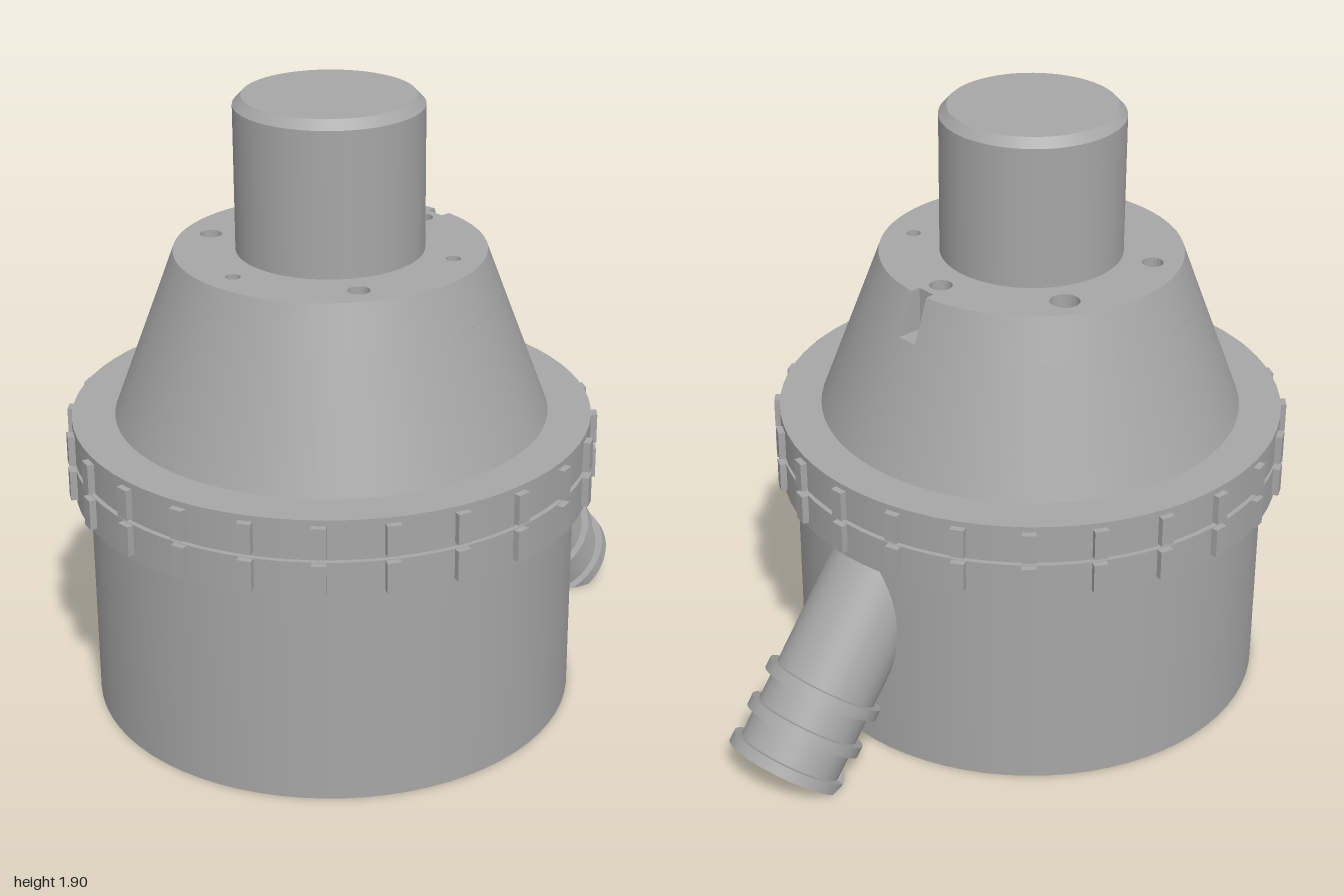
import * as THREE from 'three';
import { mergeGeometries } from 'three/addons/utils/BufferGeometryUtils.js';

const SEG = 72;
const V = (x, y, z) => new THREE.Vector3(x, y, z);
const polar = (r, a, y) => V(r * Math.sin(a), y, r * Math.cos(a));

// Turned solid with a sharp edge at every profile point
function turned(profile, start = 0, length = Math.PI * 2) {
  const parts = [];
  for (let i = 0; i < profile.length - 1; i++) {
    const pts = [profile[i], profile[i + 1]].map(p => new THREE.Vector2(...p));
    parts.push(new THREE.LatheGeometry(pts, SEG, start, length).toNonIndexed());
  }
  return mergeGeometries(parts);
}

// Flat polygon [x, z] at height y, with holes, facing up or down
function plate(outline, holes, y, up) {
  const to2 = pts => pts.map(([x, z]) => new THREE.Vector2(x, up ? -z : z));
  const shape = new THREE.Shape(to2(outline));
  shape.holes = holes.map(h => new THREE.Path(to2(h)));
  return new THREE.ShapeGeometry(shape).rotateX(up ? -Math.PI / 2 : Math.PI / 2).translate(0, y, 0);
}

// Flat four-sided faces from lists of corners
function quads(list) {
  const pts = list.flatMap(([a, b, c, d]) => [a, b, c, a, c, d]);
  const g = new THREE.BufferGeometry().setFromPoints(pts);
  g.computeVertexNormals();
  return g;
}

// Inward-facing wall of a recess between two heights
function recessWall(pts, y0, y1) {
  return quads(pts.map(([x, z], i) => {
    const [u, w] = pts[(i + 1) % pts.length];
    return [V(x, y0, z), V(x, y1, z), V(u, y1, w), V(u, y0, w)];
  }));
}

function circle(cx, cz, r, n) {
  return Array.from({ length: n }, (_, i) => {
    const a = i / n * Math.PI * 2;
    return [cx + r * Math.sin(a), cz + r * Math.cos(a)];
  });
}

// Splits triangles at y = 0 and flattens everything below onto that plane
function trimAtFloor(geo) {
  const p = geo.attributes.position, n = geo.attributes.normal, pos = [], nor = [];
  for (let i = 0; i < p.count; i += 3) {
    const tri = [0, 1, 2].map(k => ({
      p: new THREE.Vector3().fromBufferAttribute(p, i + k),
      n: new THREE.Vector3().fromBufferAttribute(n, i + k),
    }));
    for (const side of [1, -1]) {
      const poly = [];
      tri.forEach((a, k) => {
        const b = tri[(k + 1) % 3];
        if (a.p.y * side >= 0) poly.push(a);
        if (a.p.y * b.p.y < 0) {
          const t = a.p.y / (a.p.y - b.p.y);
          poly.push({ p: a.p.clone().lerp(b.p, t), n: a.n.clone().lerp(b.n, t) });
        }
      });
      for (let k = 1; k < poly.length - 1; k++) {
        for (const v of [poly[0], poly[k], poly[k + 1]]) {
          pos.push(v.p.x, side > 0 ? v.p.y : 0, v.p.z);
          nor.push(...(side > 0 ? v.n.toArray() : [0, -1, 0]));
        }
      }
    }
  }
  const out = new THREE.BufferGeometry();
  out.setAttribute('position', new THREE.Float32BufferAttribute(pos, 3));
  out.setAttribute('normal', new THREE.Float32BufferAttribute(nor, 3));
  return out;
}

export function createModel() {
  const model = new THREE.Group();
  model.name = 'housing';
  const grey = new THREE.MeshStandardMaterial({ color: 0xa6a6a6, side: THREE.DoubleSide });
  grey.name = 'grey';
  const axis = new THREE.Group();
  axis.name = 'housingAxis';
  axis.position.z = 0.195;
  model.add(axis);
  const add = (name, geo, parent = axis) => {
    const m = new THREE.Mesh(geo, grey);
    m.name = name;
    parent.add(m);
    return m;
  };

  // Drum, split flange and lower cone
  add('drum', turned([[0.74, 0], [0.74, 0.68]]));
  add('flange', turned([[0.74, 0.68], [0.785, 0.68], [0.785, 0.795], [0.77, 0.795],
    [0.77, 0.813], [0.785, 0.813], [0.785, 0.925], [0.655, 0.925]]));
  add('cone', turned([[0.655, 0.925], [0.515, 1.3]]));

  // Upper cone with a keyway at the back
  const g = 0.068, PI = Math.PI, top = 1.435, floor = 1.3;
  add('coneTop', turned([[0.515, floor], [0.465, top]], PI + g, 2 * PI - 2 * g));
  const [a, b] = [PI - g, PI + g];
  add('keyway', quads([
    [polar(0.515, a, floor), polar(0.465, a, top), polar(0.435, a, top), polar(0.435, a, floor)],
    [polar(0.435, b, floor), polar(0.435, b, top), polar(0.465, b, top), polar(0.515, b, floor)],
    [polar(0.435, a, floor), polar(0.435, a, top), polar(0.435, b, top), polar(0.435, b, floor)],
    [polar(0.515, a, floor), polar(0.435, a, floor), polar(0.435, b, floor), polar(0.515, b, floor)],
  ]));

  // Top deck with six drilled holes
  const rim = [];
  for (let i = 0; i <= SEG; i++) rim.push(polar(0.465, b + i / SEG * (2 * PI - 2 * g), 0));
  rim.push(polar(0.435, a, 0), polar(0.435, b, 0));
  const holes = [0.022, 0.033, 0.022, 0.035, 0.045, 0.033].map((r, i) =>
    circle(0.376 * Math.sin(i * PI / 3), 0.376 * Math.cos(i * PI / 3), r, 20));
  add('topDeck', plate(rim.map(p => [p.x, p.z]), holes, top, true));
  holes.forEach(h => {
    add('drilledHole', recessWall(h, top - 0.1, top));
    add('drilledHoleFloor', plate(h, [], top - 0.1, true));
  });

  // Neck with chamfered top
  add('neck', turned([[0.28, top], [0.28, 1.873], [0.255, 1.9], [0, 1.9]]));

  // Grip ribs in two rows around the flange
  const ribs = new THREE.Group();
  ribs.name = 'gripRibs';
  axis.add(ribs);
  const ribGeo = new THREE.BoxGeometry(0.042, 0.093, 0.045);
  for (let i = 0; i < 24; i++) {
    for (const y of [0.747, 0.861]) {
      const rib = add('gripRib', ribGeo, ribs);
      rib.position.copy(polar(0.7825, i * PI / 12, y));
      rib.rotation.y = i * PI / 12;
    }
  }

  // Underside with two pockets
  const pockets = [
    [[-0.06, 0.165], [-0.08, -0.15], [-0.12, -0.185], [-0.26, -0.2], [-0.31, -0.147],
      [-0.33, 0.138], [-0.29, 0.19], [-0.155, 0.218]],
    [[0.636, 0.09], [0.63, -0.16], [0.58, -0.2], [0.41, -0.24], [0.33, -0.2], [0.3, -0.13],
      [0.3, 0.083], [0.43, 0.145], [0.585, 0.158]],
  ];
  add('underside', plate(circle(0, 0, 0.74, SEG), pockets, 0, false));
  pockets.forEach(p => {
    add('pocketWall', recessWall(p, 0, 0.3));
    add('pocketFloor', plate(p, [], 0.3, false));
  });

  // Slanted hose outlet with three collars, cut flat at the base
  const R = 0.163, C = 0.187;
  const profile = [[R, -0.95]];
  for (const s of [-0.285, -0.16, -0.036]) {
    profile.push([R, s], [C, s], [C, s + 0.036], [R, s + 0.036]);
  }
  profile.pop();
  profile.push([0, 0]);
  const outlet = turned(profile).rotateX(Math.atan2(-0.61, -0.79)).translate(0, 0.026, -1.047);
  add('hoseOutlet', trimAtFloor(outlet));

  return model;
}
